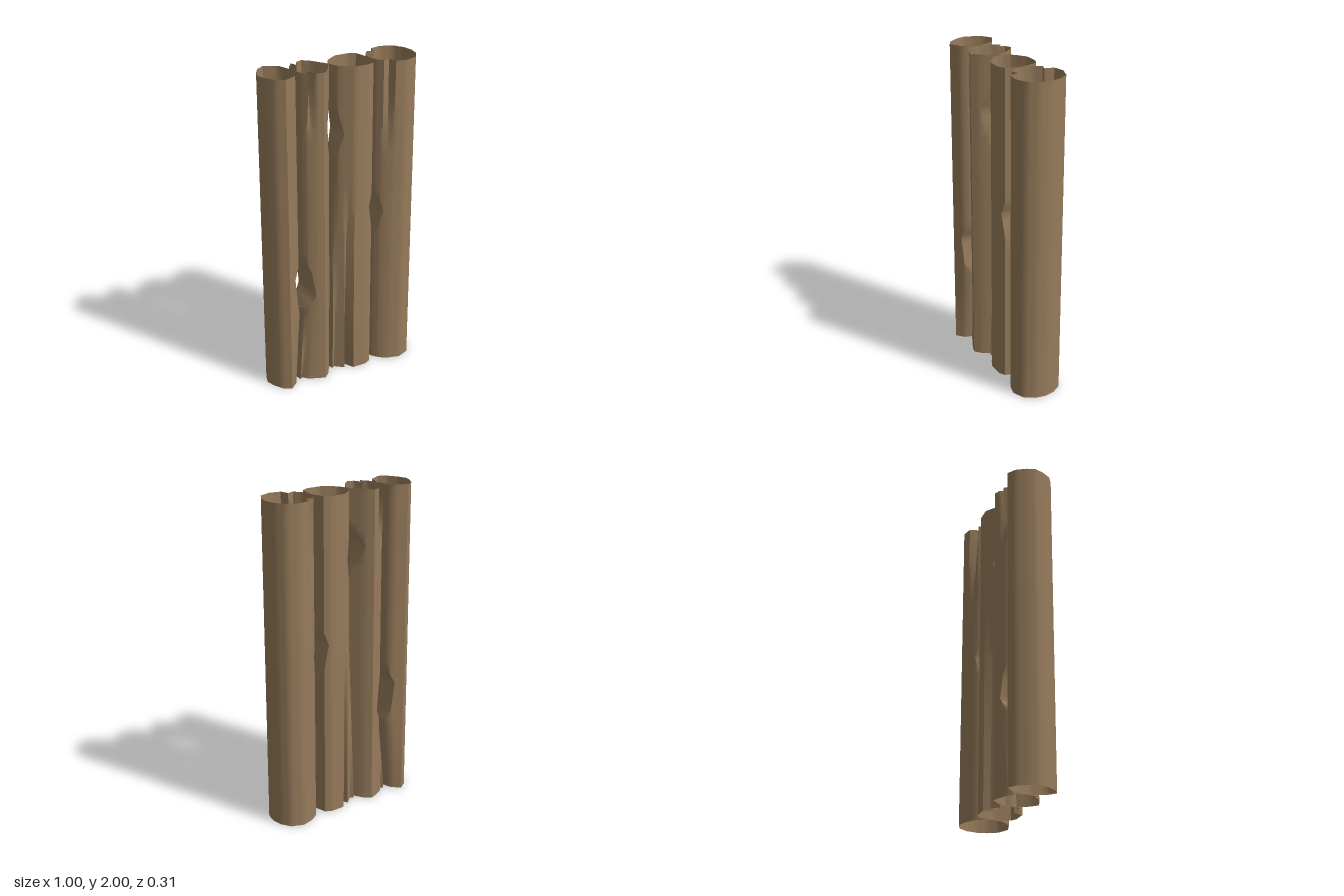
import * as THREE from 'three';
import { toCreasedNormals } from 'three/addons/utils/BufferGeometryUtils.js';

const HEIGHT = 2, ROWS = 32, SUB = 3;

// Piecewise linear lookup in a list of [key, value] pairs
function lookup(pairs, k) {
  if (k <= pairs[0][0]) return pairs[0][1];
  for (let i = 1; i < pairs.length; i++) {
    const [k0, v0] = pairs[i - 1], [k1, v1] = pairs[i];
    if (k <= k1) return k1 - k0 < 1e-6 ? v1 : v0 + (v1 - v0) * (k - k0) / (k1 - k0);
  }
  return pairs[pairs.length - 1][1];
}

// Gaps between neighbouring trunks: [y, x] edges on either side
const gaps = [
  { left: [[0.475, -0.295], [0.56, -0.33], [0.74, -0.35], [0.8, -0.325], [0.9, -0.288]],
    right: [[0.475, -0.295], [0.55, -0.23], [0.59, -0.21], [0.74, -0.23], [0.9, -0.288]] },
  { left: [[1.435, -0.055], [1.53, -0.095], [1.67, -0.12], [1.8, -0.055]],
    right: [[1.435, -0.055], [1.5, -0.025], [1.59, 0], [1.73, -0.03], [1.8, -0.055]] },
  { left: [[0.81, 0.205], [1.11, 0.155], [1.245, 0.205]],
    right: [[0.81, 0.205], [1.05, 0.26], [1.245, 0.205]] },
];

// Half cross-sections [x, depth]; foot and tip shapes fade into the middle one
const trunks = [
  { mid: [[-0.5, 0], [-0.485, 0.05], [-0.45, 0.11], [-0.4, 0.143], [-0.32, 0.1], [-0.285, 0]],
    foot: [[-0.5, 0], [-0.485, 0.05], [-0.45, 0.11], [-0.4, 0.143], [-0.35, 0.1], [-0.32, 0]], footY: 0.475 },
  { mid: [[-0.285, 0], [-0.27, 0.06], [-0.25, 0.09], [-0.23, 0.105], [-0.2, 0.122], [-0.16, 0.135], [-0.12, 0.1], [-0.055, 0]],
    foot: [[-0.325, 0], [-0.305, 0.075], [-0.293, 0.06], [-0.26, 0.095], [-0.2, 0.122], [-0.16, 0.135], [-0.12, 0.1], [-0.06, 0]], footY: 0.475,
    tip: [[-0.285, 0], [-0.27, 0.07], [-0.24, 0.11], [-0.225, 0.065], [-0.2, 0.12], [-0.16, 0.135], [-0.12, 0.1], [-0.055, 0]], tipY: 1.6 },
  { mid: [[-0.055, 0], [-0.045, 0.03], [-0.03, 0.06], [0, 0.085], [0.015, 0.095], [0.05, 0.12], [0.14, 0.12], [0.18, 0.1], [0.205, 0]],
    foot: [[-0.09, 0], [-0.07, 0.065], [-0.053, 0.05], [0, 0.095], [0.017, 0.055], [0.05, 0.12], [0.14, 0.12], [0.18, 0.1], [0.205, 0]], footY: 1.3 },
  { mid: [[0.205, 0], [0.218, 0.055], [0.25, 0.1], [0.275, 0.118], [0.305, 0.135], [0.375, 0.155], [0.45, 0.125], [0.488, 0.065], [0.5, 0]],
    tip: [[0.205, 0], [0.218, 0.055], [0.25, 0.1], [0.292, 0.085], [0.307, 0.14], [0.375, 0.155], [0.45, 0.125], [0.488, 0.065], [0.5, 0]], tipY: 1.4 },
];

function sectionAt({ mid, foot, footY, tip, tipY }, y) {
  let other = mid, t = 0;
  if (foot && y < footY) { other = foot; t = 1 - y / footY; }
  if (tip && y > tipY) { other = tip; t = (y - tipY) / (HEIGHT - tipY); }
  return mid.map(([x, z], i) => [x + (other[i][0] - x) * t, z + (other[i][1] - z) * t]);
}

// Edge of a gap at height y, or the fallback where the gap is closed
const edgeAt = (edge, y, fallback) =>
  edge && y >= edge[0][0] && y <= edge[edge.length - 1][0] ? lookup(edge, y) : fallback;

// Open hollow trunk, cut flat where a gap passes through the wall
function trunkGeometry(trunk, leftEdge, rightEdge) {
  const ys = new Set([trunk.footY, trunk.tipY].filter((y) => y !== undefined));
  for (let i = 0; i <= ROWS; i++) ys.add(HEIGHT * i / ROWS);
  for (const edge of [leftEdge, rightEdge]) if (edge) edge.forEach(([y]) => ys.add(y));
  const rows = [...ys].sort((a, b) => a - b);

  const positions = [], index = [];
  let ring = 0;
  rows.forEach((y, j) => {
    const section = sectionAt(trunk, y);
    const lo = edgeAt(leftEdge, y, section[0][0]);
    const hi = edgeAt(rightEdge, y, section[section.length - 1][0]);
    const half = [];
    for (let i = 0; i <= (section.length - 1) * SUB; i++) {
      const k = Math.min(Math.floor(i / SUB), section.length - 2);
      const raw = THREE.MathUtils.lerp(section[k][0], section[k + 1][0], i / SUB - k);
      const first = i === 0, last = i === (section.length - 1) * SUB;
      const x = first ? lo : last ? hi : Math.min(Math.max(raw, lo), hi);
      half.push([x, lookup(section, x)]);
    }
    half.forEach(([x, z]) => positions.push(x, y, z));
    [...half].reverse().forEach(([x, z]) => positions.push(x, y, -z));
    ring = half.length * 2;
    if (j === 0) return;
    for (let i = 0; i < ring; i++) {
      const n = (i + 1) % ring, b = (j - 1) * ring, t = j * ring;
      index.push(b + i, b + n, t + n, b + i, t + n, t + i);
    }
  });
  const geometry = new THREE.BufferGeometry();
  geometry.setAttribute('position', new THREE.Float32BufferAttribute(positions, 3));
  geometry.setIndex(index);
  return toCreasedNormals(geometry, 0.75);
}

export function createModel() {
  const bark = new THREE.MeshStandardMaterial({ color: 0x967b5b, side: THREE.DoubleSide });
  bark.name = 'bark brown';
  const model = new THREE.Group();
  model.name = 'hollowTrunkWall';
  const names = ['farRightTrunk', 'innerRightTrunk', 'innerLeftTrunk', 'farLeftTrunk'];
  trunks.forEach((trunk, i) => {
    const mesh = new THREE.Mesh(trunkGeometry(trunk, gaps[i - 1]?.right, gaps[i]?.left), bark);
    mesh.name = names[i];
    model.add(mesh);
  });
  return model;
}
